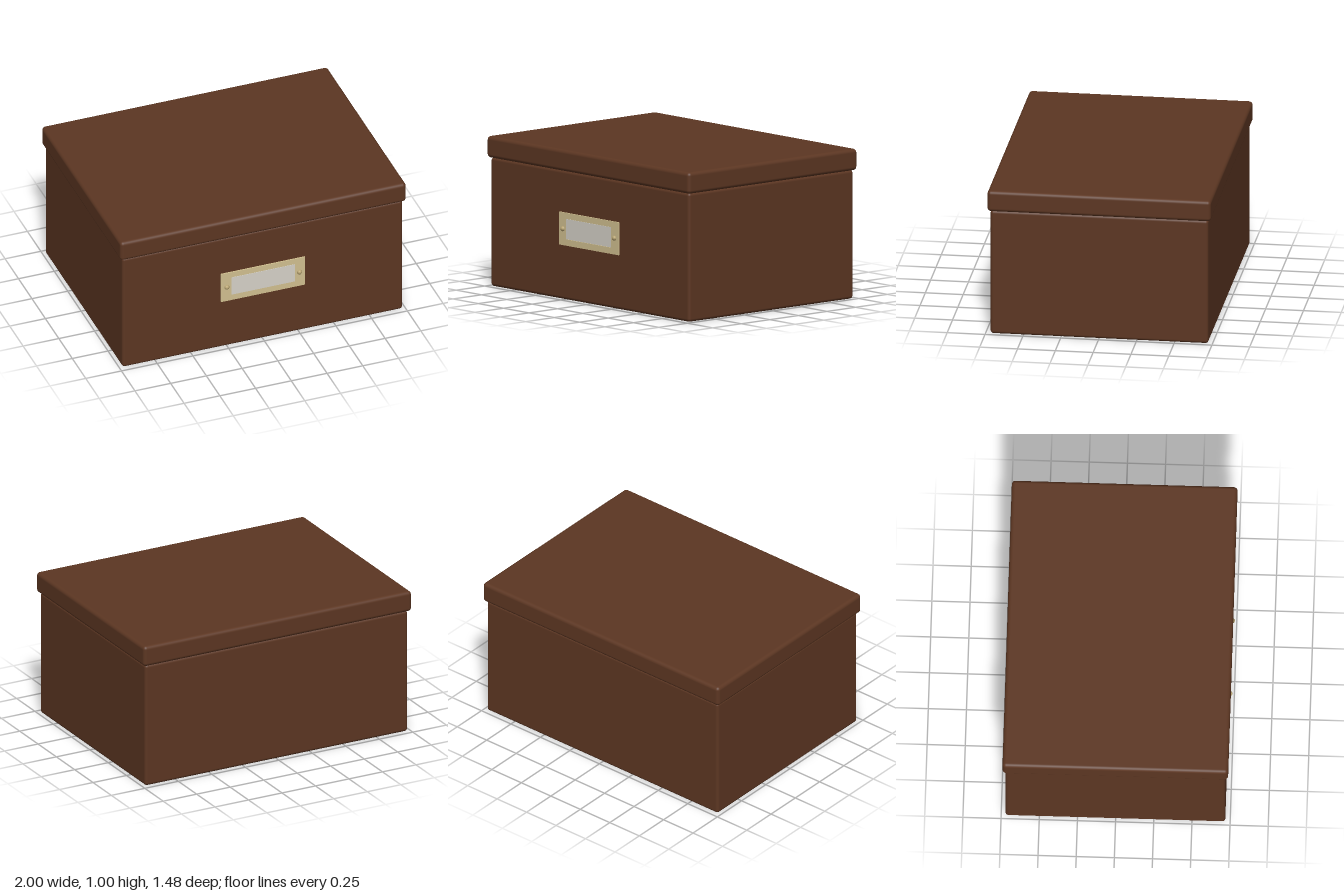
import * as THREE from 'three';
import { RoundedBoxGeometry } from 'three/addons/geometries/RoundedBoxGeometry.js';

const leather = new THREE.MeshStandardMaterial({ color: 0x5c3622 });
const brass = new THREE.MeshStandardMaterial({ color: 0xd2c090 });
const rivetBrass = new THREE.MeshStandardMaterial({ color: 0xb8a472 });
const paper = new THREE.MeshStandardMaterial({ color: 0xd6d2c8 });

export function createModel() {
  const group = new THREE.Group();
  const add = (name, geometry, material, x, y, z, parent = group) => {
    const mesh = new THREE.Mesh(geometry, material);
    mesh.name = name;
    mesh.position.set(x, y, z);
    parent.add(mesh);
    return mesh;
  };

  // Box body and overhanging lid, both with softly rounded edges
  add('body', new RoundedBoxGeometry(1.96, 0.855, 1.44, 4, 0.02), leather, 0, 0.4275, -0.002);
  add('lid', new RoundedBoxGeometry(2, 0.142, 1.478, 4, 0.024), leather, 0, 0.924, -0.002);

  // Label holder: a flat frame with a window
  const holder = new THREE.Group();
  holder.name = 'labelHolder';
  holder.position.set(0, 0.47, 0.716);
  group.add(holder);

  const rectangle = (path, w, h) => path
    .moveTo(-w / 2, -h / 2).lineTo(w / 2, -h / 2).lineTo(w / 2, h / 2).lineTo(-w / 2, h / 2).closePath();
  const frame = new THREE.Shape();
  rectangle(frame, 0.588, 0.218);
  const hole = new THREE.Path();
  rectangle(hole, 0.444, 0.134);
  frame.holes.push(hole);
  add('labelFrame', new THREE.ExtrudeGeometry(frame, { depth: 0.011, bevelEnabled: false }), brass, 0, 0, 0, holder);
  add('labelCard', new THREE.BoxGeometry(0.444, 0.134, 0.014), paper, 0, 0.002, 0.007, holder);

  // Domed rivets either side of the label
  for (const side of [-1, 1]) {
    const rivet = new THREE.SphereGeometry(0.017, 20, 8, 0, Math.PI * 2, 0, Math.PI / 2);
    rivet.rotateX(Math.PI / 2);
    add(side > 0 ? 'leftRivet' : 'rightRivet', rivet, rivetBrass, side * 0.254, 0, 0.01, holder);
  }
  return group;
}
